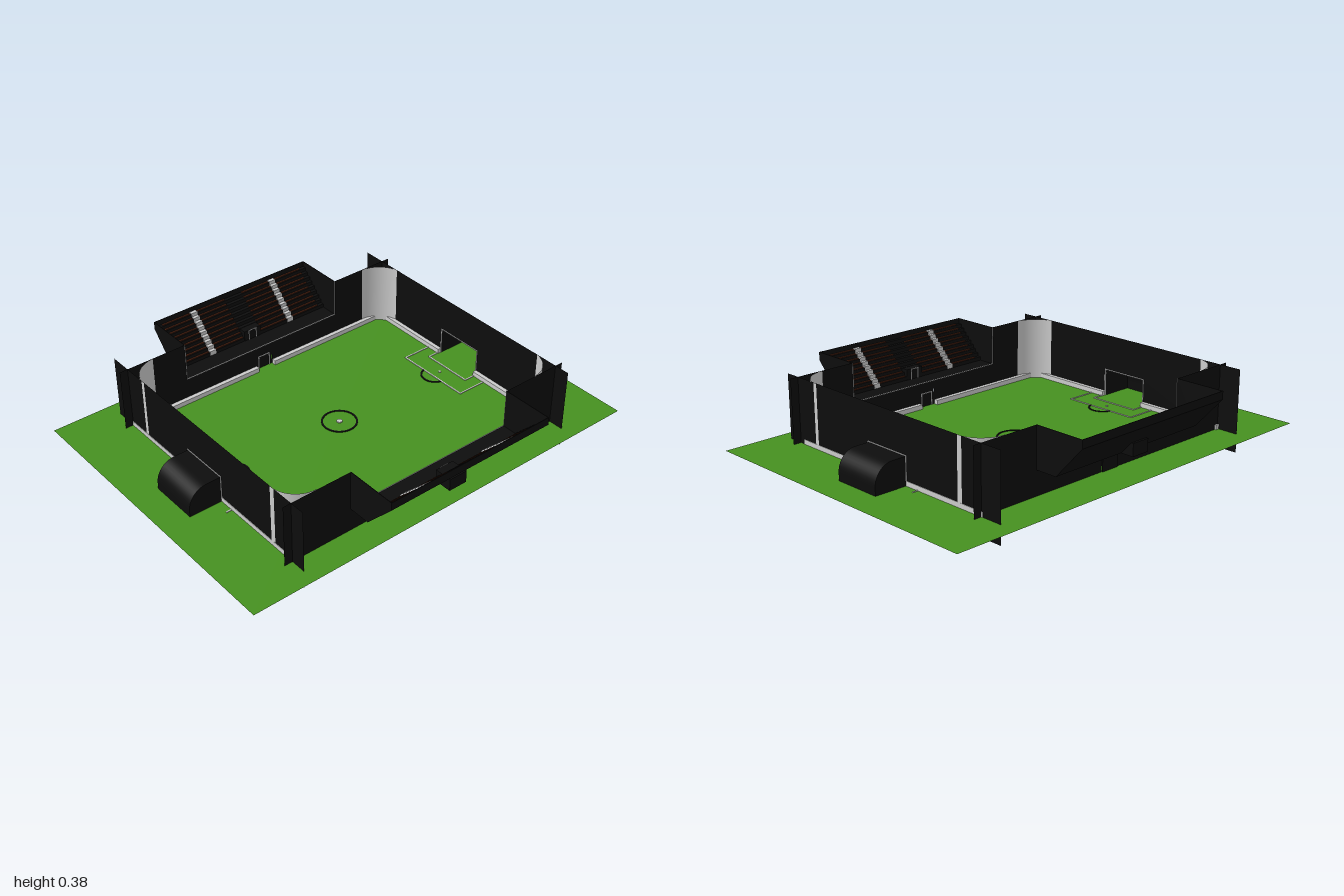
import * as THREE from 'three';

const mat = (color) => new THREE.MeshStandardMaterial({ color, side: THREE.DoubleSide });
const black = mat(0x0d0d0d), grey = mat(0xcccccc), green = mat(0x469020), brown = mat(0x4a2010);
const GROUND = 0.085, MID_Z = -0.017;

function add(parent, name, geometry, material, x = 0, y = 0, z = 0) {
  const mesh = new THREE.Mesh(geometry, material);
  mesh.name = name;
  mesh.position.set(x, y, z);
  parent.add(mesh);
  return mesh;
}

// box given by its limits on each axis
function box(parent, name, material, [x0, x1], [y0, y1], [z0, z1]) {
  return add(parent, name, new THREE.BoxGeometry(x1 - x0, y1 - y0, z1 - z0), material,
    (x0 + x1) / 2, (y0 + y1) / 2, (z0 + z1) / 2);
}

const outline = (pts) => new THREE.Shape(pts.map(([x, y]) => new THREE.Vector2(x, y)));

// profile drawn in (z, y), extruded along x and centred on x = 0
function extrudeAlongX(pts, width) {
  const g = new THREE.ExtrudeGeometry(outline(pts), { depth: width, bevelEnabled: false });
  return g.rotateY(-Math.PI / 2).translate(width / 2, 0, 0);
}

// rectangular line marking on the pitch, open towards the goal line
function marking(parent, name, xIn, xOut, half) {
  const t = 0.003, y = [GROUND, GROUND + 0.003];
  box(parent, name, grey, [xIn - t, xIn + t], y, [-half, half]);
  for (const s of [-1, 1]) box(parent, name, grey, [xIn, xOut], y, [s * half - t, s * half + t]);
}

// upright thin ring or arc band
function band(parent, name, radius, x, z, start = 0, length = Math.PI * 2) {
  const r = 0.004;
  const shape = new THREE.Shape();
  shape.absarc(0, 0, radius + r, start, start + length, false);
  if (length < 6) shape.absarc(0, 0, radius - r, start + length, start, true);
  else shape.holes.push(new THREE.Path().absarc(0, 0, radius - r, 0, Math.PI * 2, true));
  const g = new THREE.ExtrudeGeometry(shape, { depth: 0.028, bevelEnabled: false, curveSegments: 32 });
  add(parent, name, g.rotateX(-Math.PI / 2), black, x, 0.06, z);
}

// +x end: wall, goal recess, boards and penalty markings
function makeEnd() {
  const end = new THREE.Group();
  end.name = 'pitchEnd';
  const wall = outline([[-0.655, 0], [0.655, 0], [0.655, 0.38], [-0.655, 0.38]]);
  wall.holes.push(outline([[-0.115, 0.08], [-0.115, 0.21], [0.115, 0.21], [0.115, 0.08]]));
  add(end, 'endWall', new THREE.ShapeGeometry(wall).rotateY(-Math.PI / 2), black, 0.711);

  // goal recess with a rounded roof
  const roof = [[0.711, 0.21], [0.78, 0.21]];
  for (let i = 1; i <= 10; i++) {
    const a = (i / 10) * Math.PI / 2;
    roof.push([0.78 + 0.088 * Math.sin(a), 0.12 + 0.09 * Math.cos(a)]);
  }
  roof.push([0.868, 0.08]);
  const shell = new THREE.PlaneGeometry(1, 0.23, roof.length - 1, 1);
  const p = shell.attributes.position;
  for (let i = 0; i < p.count; i++) {
    const [x, y] = roof[i % roof.length];
    p.setXYZ(i, x, y, i < roof.length ? -0.115 : 0.115);
  }
  shell.computeVertexNormals();
  add(end, 'goalRoof', shell, black);
  const side = new THREE.ShapeGeometry(outline([[0.711, 0.08], ...roof]));
  for (const s of [-1, 1]) add(end, 'goalSide', side, black, 0, 0, s * 0.115);
  box(end, 'goalFloor', black, [0.711, 0.868], [0.078, 0.08], [-0.115, 0.115]);

  // goal frame
  for (const s of [-1, 1]) {
    box(end, 'goalPost', grey, [0.708, 0.714], [0.08, 0.215], [s * 0.117 - 0.002, s * 0.117 + 0.002]);
    box(end, 'endBoard', grey, [0.692, 0.713], [0.08, 0.107],
      s > 0 ? [0.117, 0.557] : [-0.557, -0.117]);
  }
  box(end, 'goalCrossbar', grey, [0.708, 0.714], [0.211, 0.215], [-0.117, 0.117]);

  // penalty markings
  marking(end, 'penaltyArea', 0.55, 0.74, 0.185);
  marking(end, 'goalArea', 0.64, 0.712, 0.122);
  band(end, 'penaltyArc', 0.06, 0.562, 0, Math.PI * 0.56, Math.PI * 0.88);
  add(end, 'penaltySpot', new THREE.CylinderGeometry(0.006, 0.006, 0.004, 12), grey, 0.595, GROUND + 0.002);
  return end;
}

// +z side: wall, boards, doorway and grandstand
function makeSide() {
  const half = new THREE.Group();
  half.name = 'pitchSide';
  const wall = outline([
    [-0.75, 0], [-0.045, 0], [-0.045, 0.16], [0.045, 0.16], [0.045, 0], [0.75, 0],
    [0.75, 0.38], [0.42, 0.38], [0.42, 0.2], [-0.42, 0.2], [-0.42, 0.38], [-0.75, 0.38]]);
  add(half, 'sideWall', new THREE.ShapeGeometry(wall), black, 0, 0, 0.566);
  box(half, 'doorPanel', black, [-0.045, 0.045], [0.06, 0.16], [0.567, 0.571]);
  for (const s of [-1, 1]) {
    box(half, 'sideBoard', grey, s > 0 ? [0.045, 0.68] : [-0.68, -0.045], [0.08, 0.107], [0.542, 0.562]);
    box(half, 'doorFrame', grey, [s * 0.03 - 0.0015, s * 0.03 + 0.0015], [GROUND, 0.15], [0.563, 0.567]);
  }
  box(half, 'doorFrame', grey, [-0.03, 0.03], [0.147, 0.15], [0.563, 0.567]);

  const stand = new THREE.Group();
  stand.name = 'grandstand';
  half.add(stand);

  // stepped terrace with a sloping underside
  const rows = 9, run = 0.15 / rows, rise = 0.155 / rows;
  const profile = [[0.566, 0.195], [0.566, 0.2], [0.65, 0.2]];
  for (let i = 0; i < rows; i++) {
    const z = 0.65 + i * run, y = 0.2 + (i + 1) * rise;
    profile.push([z, y], [z + run, y]);
    // seat rows, split by the stairs
    for (const s of [-1, 1]) {
      for (const [a, b] of [[0.05, 0.2], [0.24, 0.387]]) {
        box(stand, 'seatRow', brown, s > 0 ? [a, b] : [-b, -a], [y, y + 0.004],
          [z + run * 0.25, z + run * 0.75]);
      }
      box(stand, 'stairStep', grey, [s * 0.22 - 0.016, s * 0.22 + 0.016], [y - rise, y + 0.005], [z - 0.001, z + run]);
    }
  }
  profile.push([0.802, 0.38], [0.805, 0.38], [0.805, 0.343], [0.67, 0.195]);
  add(stand, 'terrace', extrudeAlongX(profile, 0.84), black);

  // side panels and front edge
  const panel = extrudeAlongX([[0.566, 0.195], [0.566, 0.38], [0.805, 0.38], [0.805, 0.343], [0.67, 0.195]], 0.003);
  for (const s of [-1, 1]) {
    add(stand, 'standSide', panel, black, s * 0.42);
    box(stand, 'wallEdge', grey, [s * 0.42 - 0.001, s * 0.42 + 0.001], [0.2, 0.38], [0.563, 0.566]);
    box(stand, 'entranceFrame', grey, [s * 0.02 - 0.0015, s * 0.02 + 0.0015], [0.2, 0.25], [0.646, 0.648]);
  }
  box(stand, 'standFrontEdge', grey, [-0.42, 0.42], [0.199, 0.202], [0.563, 0.566]);

  // entrance in the middle of the stand
  box(stand, 'entranceBox', black, [-0.045, 0.045], [0.193, 0.25], [0.648, 0.73]);
  box(stand, 'entranceFrame', grey, [-0.02, 0.02], [0.247, 0.25], [0.646, 0.648]);
  return half;
}

export function createModel() {
  const model = new THREE.Group();
  model.name = 'stadium';

  add(model, 'grass', new THREE.PlaneGeometry(2, 1.455).rotateX(-Math.PI / 2), green, 0, GROUND, -0.0225);

  for (const turn of [0, Math.PI]) {
    const end = makeEnd();
    end.position.z = MID_Z;
    end.rotation.y = turn;
    const side = makeSide();
    side.rotation.y = turn;
    model.add(end, side);
  }

  // curved corner walls
  for (let i = 0; i < 4; i++) {
    const sx = i < 2 ? 1 : -1, sz = i === 0 || i === 3 ? 1 : -1;
    const g = new THREE.CylinderGeometry(0.127, 0.127, 0.3, 16, 1, true, i * Math.PI / 2, Math.PI / 2);
    add(model, 'cornerWall', g, grey, sx * 0.586, 0.23, sz * 0.436);
  }

  // centre circle and spot
  band(model, 'centreCircle', 0.077, 0, MID_Z);
  add(model, 'centreSpot', new THREE.CylinderGeometry(0.013, 0.013, 0.004, 16), grey, 0, GROUND + 0.002, MID_Z);
  return model;
}
